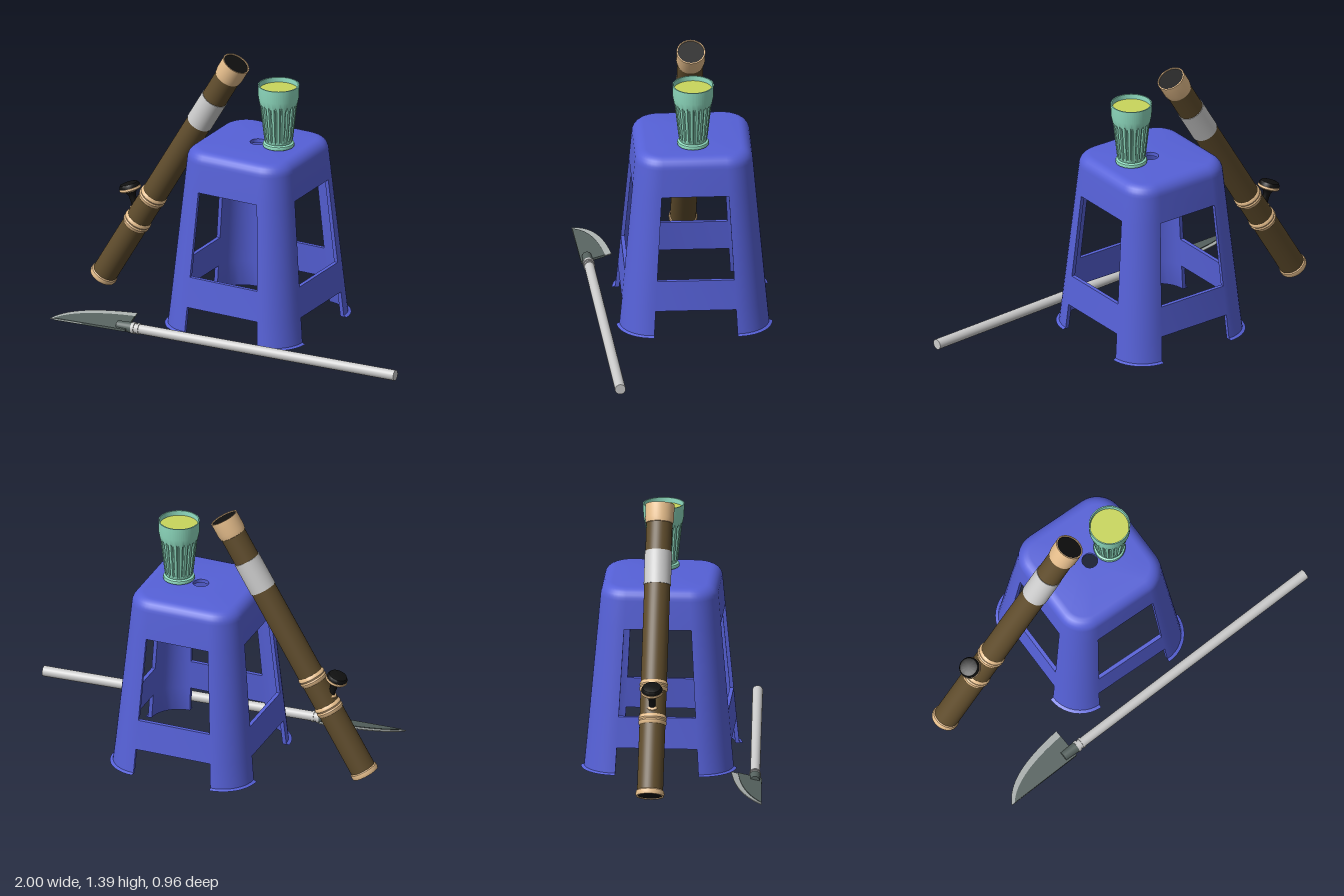
import * as THREE from 'three';
import { toCreasedNormals } from 'three/addons/utils/BufferGeometryUtils.js';

const material = (color, side = THREE.FrontSide) => new THREE.MeshStandardMaterial({ color, side });
const BLUE = 0x5661d8, BROWN = 0x5f4c2c, TAN = 0xe6be8c, BLACK = 0x111111;
const GREY = 0xcccccc, MINT = 0x8fdcc0, LIQUID = 0xc9d65c, STEEL = 0x56625f;

function add(parent, name, geometry, color, side) {
  const mesh = new THREE.Mesh(geometry, material(color, side));
  mesh.name = name;
  parent.add(mesh);
  return mesh;
}

// Lathe from [radius, height] pairs, with sharp edges kept
function lathe(points, segments = 40) {
  const g = new THREE.LatheGeometry(points.map(([r, y]) => new THREE.Vector2(r, y)), segments);
  return toCreasedNormals(g, 0.6);
}

// Stool: a thick shell of stacked rounded squares, with cells left out for windows and leg gaps
function stoolGeometry() {
  const row = (y, h, yi = y, hi = h - 0.02, w = 0.212 - 0.055 * y) => ({ y, h, yi, hi, w });
  const wall = (y) => row(y, 0.38 - 0.09 * y);
  const rows = [row(0.013, 0.395, 0.013, 0.36), row(0.02, 0.379, 0.02, 0.358),
    wall(0.15), wall(0.31), wall(0.76)];
  for (let i = 0; i <= 6; i++) {
    const c = Math.cos(i * Math.PI / 12), s = Math.sin(i * Math.PI / 12);
    rows.push(row(0.905 + 0.06 * s, 0.239 + 0.06 * c, 0.905 + 0.04 * s, 0.239 + 0.04 * c));
  }
  rows.push(row(0.965, 0.04, 0.945, 0.04, 0)); // round hole in the seat

  const K = 10, N = 4 * (K + 1);
  const point = (r, j, inner) => {
    const k = Math.floor((j % N) / (K + 1)), m = (j % N) % (K + 1);
    const a = (k + m / K) * Math.PI / 2, q = (k + 0.5) * Math.PI / 2;
    const radius = (inner ? r.hi : r.h) - r.w;
    return [r.w * Math.SQRT2 * Math.cos(q) + radius * Math.cos(a), inner ? r.yi : r.y,
      r.w * Math.SQRT2 * Math.sin(q) + radius * Math.sin(a)];
  };
  const solid = (i, j) => {
    if (i < 0 || i >= rows.length - 1) return false;
    const isSide = ((j + N) % N) % (K + 1) === K;
    return !isSide || i === 2 || i >= 4;
  };
  const pos = [];
  const quad = (a, b, c, d) => pos.push(...a, ...b, ...c, ...a, ...c, ...d);
  for (let i = 0; i < rows.length - 1; i++) {
    for (let j = 0; j < N; j++) {
      if (!solid(i, j)) continue;
      const ids = [[i, j], [i + 1, j], [i + 1, j + 1], [i, j + 1]];
      const o = ids.map(([r, c]) => point(rows[r], c, false));
      const n = ids.map(([r, c]) => point(rows[r], c, true));
      quad(...o);
      quad(n[3], n[2], n[1], n[0]);
      // Close the shell along every open edge
      [[i, j - 1], [i + 1, j], [i, j + 1], [i - 1, j]].forEach(([r, c], e) => {
        const f = (e + 1) % 4;
        if (!solid(r, c)) quad(o[f], o[e], n[e], n[f]);
      });
    }
  }
  const g = new THREE.BufferGeometry();
  g.setAttribute('position', new THREE.Float32BufferAttribute(pos, 3));
  return toCreasedNormals(g, 0.6);
}

// Bamboo pipe, built upright and then leaned against the stool
function createPipe() {
  const pipe = new THREE.Group();
  pipe.name = 'bambooPipe';
  add(pipe, 'tube', new THREE.CylinderGeometry(0.066, 0.066, 1.42, 40, 1, true).translate(0, 0.73, 0), BROWN, THREE.DoubleSide);
  add(pipe, 'bottomRing', lathe([[0.06, 0.01], [0.06, 0], [0.07, 0], [0.073, 0.012], [0.071, 0.025], [0.066, 0.03]]), TAN);
  for (const t of [0.394, 0.571]) {
    add(pipe, 'nodeRing', lathe([[0.065, t - 0.026], [0.07, t - 0.02], [0.072, t - 0.008], [0.068, t],
      [0.072, t + 0.008], [0.07, t + 0.02], [0.065, t + 0.026]]), TAN);
  }
  add(pipe, 'sleeve', lathe([[0.065, 1.1], [0.069, 1.1], [0.069, 1.274], [0.065, 1.274]]), GREY);
  add(pipe, 'mouthpiece', lathe([[0.065, 1.42], [0.069, 1.422], [0.073, 1.445], [0.073, 1.519], [0.067, 1.519], [0.066, 1.505]]), TAN);
  add(pipe, 'topOpening', new THREE.CircleGeometry(0.068, 40).rotateX(-Math.PI / 2).translate(0, 1.514, 0), BLACK);
  add(pipe, 'bottomOpening', new THREE.CircleGeometry(0.066, 40).rotateX(Math.PI / 2).translate(0, 0.004, 0), BLACK);
  pipe.position.set(-0.941, 0.06, -0.09);
  pipe.rotation.z = -0.537;
  return pipe;
}

// Small bowl on a stem at the side of the pipe
function createBowl() {
  const bowl = new THREE.Group();
  bowl.name = 'pipeBowl';
  add(bowl, 'stemCollar', lathe([[0.03, -0.015], [0.03, 0.012], [0.02, 0.018]], 24), TAN);
  add(bowl, 'stem', lathe([[0.019, -0.02], [0.017, 0.04], [0.019, 0.07], [0.03, 0.088], [0.045, 0.096]], 24), BLACK);
  add(bowl, 'bowlRim', lathe([[0.03, 0.089], [0.05, 0.094], [0.057, 0.101], [0.055, 0.111], [0.045, 0.114]], 32), TAN);
  add(bowl, 'bowlTop', lathe([[0.053, 0.111], [0.053, 0.119], [0.046, 0.131], [0.03, 0.135], [0, 0.135]], 32), BLACK);
  bowl.position.set(-0.748, 0.467, -0.09);
  bowl.rotation.z = 0.33;
  return bowl;
}

// Fluted drinking glass
function createGlass() {
  const glass = new THREE.Group();
  glass.name = 'glass';
  add(glass, 'baseRing', lathe([[0, 0], [0.07, 0], [0.079, 0.005], [0.081, 0.013], [0.078, 0.022], [0.066, 0.028]]), MINT);
  const body = new THREE.LatheGeometry([[0.066, 0.024], [0.071, 0.035], [0.074, 0.05], [0.093, 0.22], [0.097, 0.24],
    [0.103, 0.27], [0.105, 0.335], [0.099, 0.335], [0.096, 0.29]].map(([r, y]) => new THREE.Vector2(r, y)), 120);
  const p = body.attributes.position;
  for (let i = 0; i < p.count; i++) {
    const y = p.getY(i);
    const column = Math.floor(i / 9) % 6;
    if (y > 0.045 && y < 0.23 && column < 2) {
      p.setX(i, p.getX(i) * 0.91);
      p.setZ(i, p.getZ(i) * 0.91);
    }
  }
  add(glass, 'flutedBody', toCreasedNormals(body, 0.5), MINT, THREE.DoubleSide);
  add(glass, 'drink', new THREE.CircleGeometry(0.097, 40).rotateX(-Math.PI / 2).translate(0, 0.31, 0), LIQUID);
  glass.position.set(0.083, 0.965, -0.088);
  return glass;
}

// Flat plate from an outline in x and z, tilted so its curved edge is raised
function plate(draw, thickness) {
  const shape = new THREE.Shape();
  draw(shape);
  const g = new THREE.ExtrudeGeometry(shape, { depth: thickness, bevelEnabled: false, curveSegments: 20 });
  g.rotateX(Math.PI / 2);
  const p = g.attributes.position;
  for (let i = 0; i < p.count; i++) {
    p.setY(i, p.getY(i) + thickness / 2 + 0.025 + (0.47 - p.getZ(i)) * 0.25);
  }
  return toCreasedNormals(g, 0.5);
}

// Long-handled blade lying on the ground
function createBlade() {
  const tool = new THREE.Group();
  tool.name = 'longHandledBlade';
  add(tool, 'cuttingEdge', plate((s) => {
    s.moveTo(-0.925, 0.475);
    s.bezierCurveTo(-0.88, 0.38, -0.75, 0.325, -0.52, 0.294);
    s.lineTo(-0.505, 0.447);
    s.closePath();
  }, 0.005), 0xaab0ae);
  add(tool, 'bladeBody', plate((s) => {
    s.moveTo(-0.905, 0.473);
    s.bezierCurveTo(-0.86, 0.41, -0.74, 0.355, -0.516, 0.328);
    s.lineTo(-0.504, 0.448);
    s.closePath();
  }, 0.012), STEEL);

  const handle = new THREE.Group();
  handle.name = 'handle';
  const rod = (name, r0, r1, from, to, color) =>
    add(handle, name, new THREE.CylinderGeometry(r1, r0, to - from, 24).translate(0, (from + to) / 2, 0), color);
  rod('pole', 0.025, 0.027, 0, 1.482, GREY);
  rod('poleBand', 0.03, 0.03, -0.002, 0.014, GREY);
  rod('poleBand', 0.029, 0.029, 0.028, 0.04, GREY);
  rod('socket', 0.024, 0.028, -0.085, 0, STEEL);
  handle.position.set(-0.48, 0.039, 0.412);
  handle.quaternion.setFromUnitVectors(new THREE.Vector3(0, 1, 0), new THREE.Vector3(1.48, 0.002, -0.085).normalize());
  tool.add(handle);
  return tool;
}

export function createModel() {
  const model = new THREE.Group();
  model.name = 'stoolWithPipeGlassAndBlade';
  add(model, 'stool', stoolGeometry(), BLUE).position.set(-0.038, 0, -0.09);
  model.add(createPipe(), createBowl(), createGlass(), createBlade());
  return model;
}
